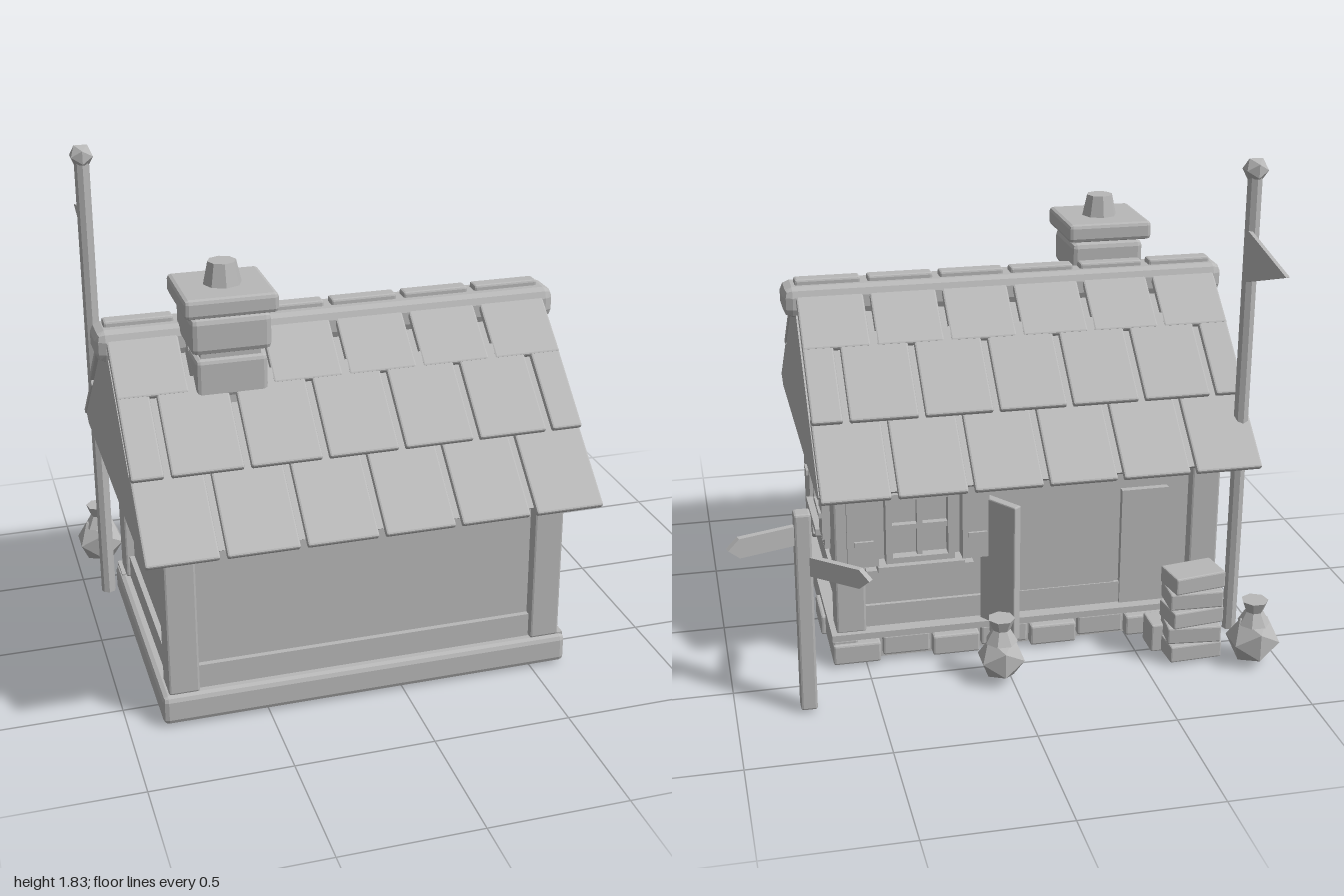
import * as THREE from 'three';
import { RoundedBoxGeometry } from 'three/addons/geometries/RoundedBoxGeometry.js';

const stone = new THREE.MeshStandardMaterial({ color: 0xb8b8b8, flatShading: true });
stone.name = 'plain grey';

export function createModel() {
  const model = new THREE.Group();
  model.name = 'cottage';

  const add = (name, geometry, x = 0, y = 0, z = 0, parent = model) => {
    const mesh = new THREE.Mesh(geometry, stone);
    mesh.name = name;
    mesh.position.set(x, y, z);
    parent.add(mesh);
    return mesh;
  };
  // Boxes given by their extents; bevel > 0 chamfers the edges
  const box = (name, x0, x1, y0, y1, z0, z1, bevel = 0, parent = model) => {
    const size = [x1 - x0, y1 - y0, z1 - z0];
    const geometry = bevel ? new RoundedBoxGeometry(...size, 1, bevel) : new THREE.BoxGeometry(...size);
    return add(name, geometry, (x0 + x1) / 2, (y0 + y1) / 2, (z0 + z1) / 2, parent);
  };
  const shapeOf = (points) => new THREE.Shape(points.map(([a, b]) => new THREE.Vector2(a, b)));

  // Foundation: plain kerbs at front and left, bricks at right and back
  box('foundation', -0.86, 0.605, 0.02, 0.12, -0.36, 0.63);
  box('frontKerb', -0.88, 0.63, 0.02, 0.13, 0.54, 0.66, 0.02);
  box('leftKerb', -0.88, -0.77, 0.02, 0.13, -0.38, 0.65, 0.02);
  box('rightLedge', 0.5, 0.625, 0.11, 0.135, -0.38, 0.64);
  box('backLedge', -0.87, 0.625, 0.11, 0.135, -0.385, -0.27);
  const seams = [0.58, 0.44, 0.245, 0.035, -0.16, -0.39];
  for (let i = 0; i < 5; i++) {
    const low = i % 2 ? 0.02 : 0.035;
    box('rightBrick', 0.53, i % 2 ? 0.64 : 0.625, low, low + 0.08, seams[i + 1] + 0.005, seams[i] - 0.005, 0.008);
  }
  for (let i = 0; i < 8; i++) {
    const x = -0.86 + i * 0.186, low = i % 2 ? 0.02 : 0.035;
    box('backBrick', x + 0.005, x + 0.181, low, low + 0.08, i % 2 ? -0.4 : -0.385, -0.28, 0.008);
  }

  // Walls, corner posts and rails
  box('walls', -0.82, 0.56, 0.12, 0.75, -0.32, 0.6);
  for (const x of [-0.855, 0.495]) for (const z of [-0.365, 0.53]) {
    box('cornerPost', x, x + 0.11, 0.13, 0.75, z, z + 0.115, 0.008);
  }
  for (const [y0, y1] of [[0.13, 0.22], [0.7, 0.74]]) {
    box('frontRail', -0.76, 0.51, y0, y1, 0.58, 0.62);
    box('rightRail', 0.54, 0.58, y0, y1, -0.26, 0.54);
    box('leftRail', -0.84, -0.8, y0, y1, -0.26, 0.54);
    box('backRail', -0.76, 0.51, y0, y1, -0.335, -0.3);
  }

  // Window with bars, sill and two shutters, facing local +z
  const makeWindow = (x, z, turn) => {
    const win = new THREE.Group();
    win.name = 'window';
    const b = (name, ...e) => box(name, ...e, 0, win);
    b('pane', -0.11, 0.11, 0.41, 0.66, -0.02, 0.01);
    for (const s of [-1, 1]) {
      b('windowFrameSide', s * 0.115 - 0.012, s * 0.115 + 0.012, 0.4, 0.67, 0, 0.05);
      b('windowFrameCross', -0.12, 0.12, 0.535 + s * 0.125 - 0.012, 0.535 + s * 0.125 + 0.012, 0, 0.05);
      const inner = s * 0.155, outer = s * (s > 0 ? 0.255 : 0.27);
      b('shutter', Math.min(inner, outer), Math.max(inner, outer), 0.4, 0.69, 0, 0.06);
      b('shutterLatch', s * 0.21 - 0.035, s * 0.21 + 0.035, 0.485, 0.505, 0.05, 0.07);
    }
    b('verticalBar', -0.01, 0.01, 0.41, 0.66, 0, 0.035);
    b('horizontalBar', -0.11, 0.11, 0.525, 0.545, 0, 0.035);
    b('windowSill', -0.16, 0.16, 0.375, 0.4, 0, 0.075);
    b('sillBoard', -0.2, 0.2, 0.335, 0.375, 0, 0.045);
    win.position.set(x, 0, z);
    win.rotation.y = turn;
    model.add(win);
  };
  makeWindow(0.56, 0.14, Math.PI / 2);
  makeWindow(0.29, -0.32, Math.PI);

  // Loose boards and exposed bricks on the right wall
  for (const [y, z, h, w] of [[0.5, -0.2, 0.07, 0.1], [0.43, -0.12, 0.05, 0.14], [0.37, -0.18, 0.05, 0.13],
    [0.36, -0.04, 0.05, 0.11], [0.32, -0.11, 0.03, 0.16], [0.68, 0.47, 0.03, 0.12], [0.47, 0.47, 0.06, 0.11]]) {
    box('wallBrick', 0.54, 0.585, y - h / 2, y + h / 2, z - w / 2, z + w / 2);
  }
  const plank = add('leaningPlank', new RoundedBoxGeometry(0.04, 0.27, 0.05, 1, 0.006), 0.595, 0.33, 0.385);
  plank.rotation.x = 0.66;

  // Back doorway with its door standing open, and a wall board
  box('doorPanel', -0.46, 0.05, 0.135, 0.66, -0.33, -0.31);
  box('doorLintel', -0.48, 0.08, 0.65, 0.69, -0.35, -0.3);
  box('wallBoard', -0.66, -0.48, 0.135, 0.6, -0.345, -0.31);
  const door = new THREE.Group();
  door.name = 'openDoor';
  box('doorLeaf', 0, 0.17, 0.09, 0.63, -0.017, 0.017, 0.005, door);
  door.position.set(0.05, 0, -0.335);
  door.rotation.y = Math.PI - 0.946;
  model.add(door);

  // Roof body: a gabled prism with clipped eaves, running along x
  const gable = shapeOf([[-0.6, 0.72], [0.6, 0.72], [0.645, 0.745], [0.02, 1.28], [-0.02, 1.28], [-0.645, 0.745]]);
  const roof = add('roofBody', new THREE.ExtrudeGeometry(gable, { depth: 1.61, bevelEnabled: false }), 0.67, 0, 0.14);
  roof.rotation.y = -Math.PI / 2;

  // Shingles: three overlapping rows on each slope, the middle one staggered
  const pitch = 0.2725, left = -0.955, right = 0.68;
  const rows = [[0.685, 0.735, 0.43, 0.955], [0.475, 0.95, 0.2, 1.19], [0.25, 1.15, 0.05, 1.315]];
  for (const side of [-1, 1]) rows.forEach(([u0, y0, u1, y1], row) => {
    const length = Math.hypot(u1 - u0, y1 - y0);
    for (let i = 0; i < 7; i++) {
      const start = left + (i - (row === 1 ? 0.5 : 0)) * pitch;
      const a = Math.max(start, left) + 0.012, b = Math.min(start + pitch, right) - 0.012;
      if (b - a < 0.05) continue;
      const tile = add('shingle', new RoundedBoxGeometry(b - a, 0.025, length, 1, 0.007),
        (a + b) / 2, (y0 + y1) / 2, 0.14 + side * (u0 + u1) / 2);
      tile.rotation.x = side * Math.atan2(y1 - y0, u0 - u1);
    }
  });

  // Ridge beam and its caps
  box('ridgeBeam', -0.98, 0.715, 1.22, 1.335, 0.055, 0.225, 0.035);
  for (let i = 0; i < 6; i++) {
    const x = left + i * pitch;
    box('ridgeCap', x + 0.014, x + pitch - 0.014, 1.31, 1.355, 0.105, 0.165, 0.008);
  }

  // Chimney
  box('chimneyFoot', -0.67, -0.42, 1.13, 1.27, 0.165, 0.41, 0.015);
  box('chimneyNeck', -0.65, -0.44, 1.1, 1.45, 0.18, 0.39);
  box('chimneyStack', -0.685, -0.405, 1.29, 1.42, 0.15, 0.42, 0.02);
  box('chimneyCap', -0.71, -0.385, 1.43, 1.5, 0.125, 0.45, 0.015);
  add('chimneyPot', new THREE.CylinderGeometry(0.05, 0.07, 0.09, 8), -0.545, 1.535, 0.285);

  // Flagpole with pennant
  add('flagpole', new THREE.CylinderGeometry(0.028, 0.028, 1.77, 8), -0.912, 0.895, -0.39);
  add('poleKnob', new THREE.IcosahedronGeometry(0.047, 0), -0.912, 1.805, -0.39);
  const pennant = shapeOf([[0, 1.4], [0.365, 1.52], [0, 1.59]]);
  const flag = add('pennant', new THREE.ExtrudeGeometry(pennant, { depth: 0.014, bevelEnabled: false }), -0.905, 0, -0.405);
  flag.rotation.y = Math.PI / 2;

  // Signpost with three pointed boards
  box('signpost', 0.717, 0.775, 0.02, 0.77, -0.69, -0.63, 0.008);
  const board = shapeOf([[0, -0.035], [0.23, -0.035], [0.27, 0], [0.23, 0.035], [0, 0.035]]);
  for (const [y, tipX, tipZ] of [[0.69, 1.0, -0.74], [0.575, 0.55, -0.825], [0.45, 0.705, -0.4]]) {
    const g = new THREE.ExtrudeGeometry(board, { depth: 0.022, bevelEnabled: false });
    g.translate(0, 0, -0.011);
    const sign = add('signBoard', g, 0.746, y, -0.66);
    sign.rotation.y = -Math.atan2(tipZ + 0.66, tipX - 0.746);
  }

  // Tied sacks
  for (const [x, z, r] of [[0.04, -0.605, 0.09], [-0.9, -0.66, 0.1]]) {
    add('sack', new THREE.IcosahedronGeometry(r, 0), x, 0.105, z);
    add('sackNeck', new THREE.CylinderGeometry(0.032, 0.06, 0.05, 7), x, 0.195, z);
    add('sackFrill', new THREE.CylinderGeometry(0.05, 0.032, 0.045, 7), x, 0.24, z);
  }

  // Stack of boards beside a low block
  for (let i = 0; i < 5; i++) {
    const slab = add('stackedBoard', new RoundedBoxGeometry(0.2, 0.065, 0.13, 1, 0.006), -0.69, 0.055 + i * 0.07, -0.57);
    slab.rotation.y = [0.05, -0.1, 0.12, -0.04, 0.16][i];
  }
  box('lowBlock', -0.68, -0.55, 0.02, 0.13, -0.54, -0.43, 0.006);

  return model;
}
